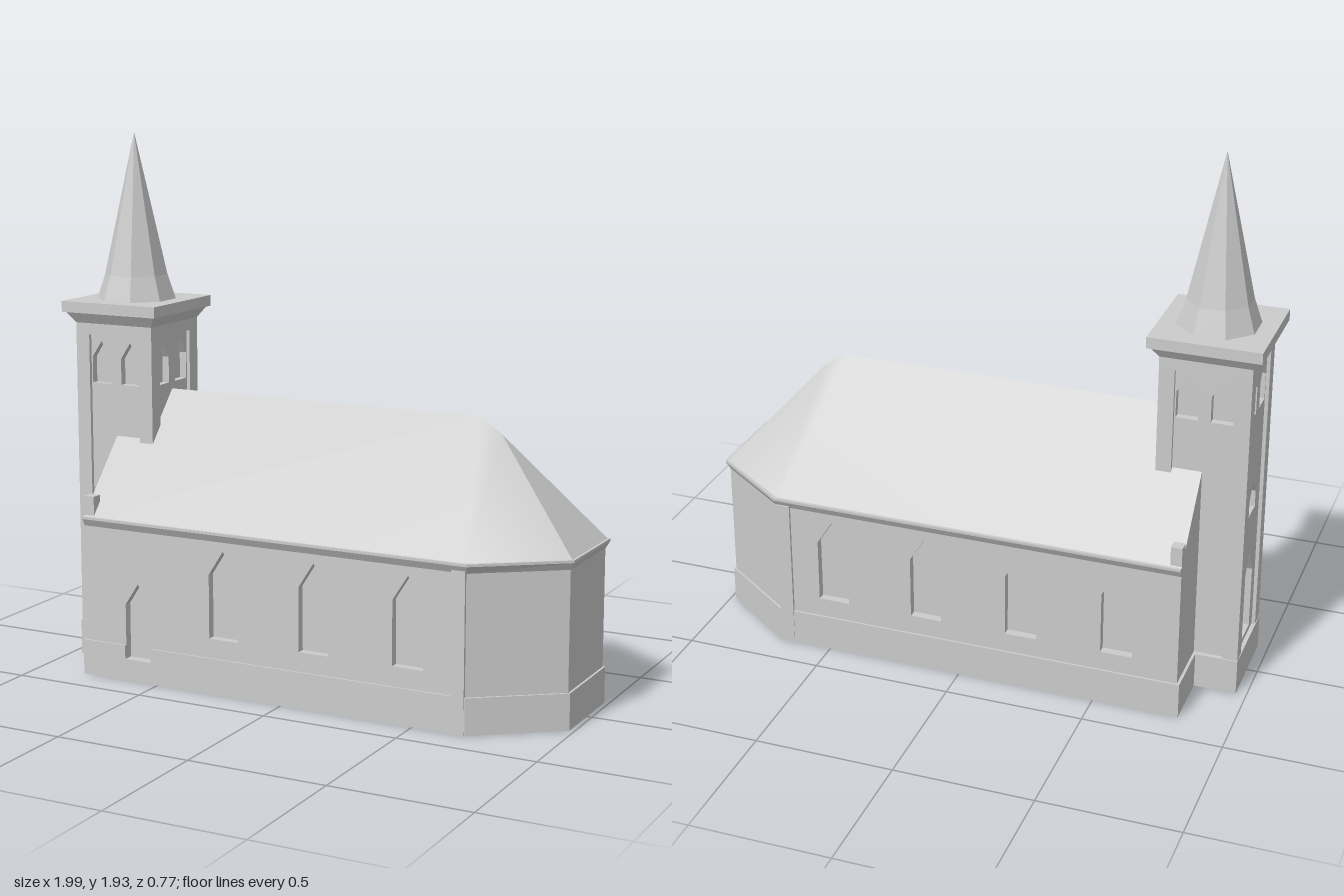
import * as THREE from 'three';

const stone = new THREE.MeshStandardMaterial({ color: 0xcccccc });
stone.name = 'pale stone';

const TX = -0.8; // tower axis

function add(parent, name, geo, x = 0, y = 0, z = 0) {
  const m = new THREE.Mesh(geo, stone);
  m.name = name;
  m.position.set(x, y, z);
  parent.add(m);
  return m;
}

// box given by its limits
function block(parent, name, x0, x1, y0, y1, z0, z1) {
  return add(parent, name, new THREE.BoxGeometry(x1 - x0, y1 - y0, z1 - z0),
    (x0 + x1) / 2, (y0 + y1) / 2, (z0 + z1) / 2);
}

// flat-sided solid between two convex [x, z] outlines
function loft(low, y0, high, y1) {
  const pos = [];
  const n = low.length;
  const a = low.map(([x, z]) => [x, y0, z]);
  const b = high.map(([x, z]) => [x, y1, z]);
  const tri = (...p) => p.forEach((v) => pos.push(...v));
  for (let i = 0; i < n; i++) {
    const j = (i + 1) % n;
    tri(a[i], a[j], b[j]);
    tri(a[i], b[j], b[i]);
    if (i > 0 && i < n - 1) {
      tri(b[0], b[i], b[i + 1]);
      tri(a[0], a[i + 1], a[i]);
    }
  }
  const g = new THREE.BufferGeometry();
  g.setAttribute('position', new THREE.Float32BufferAttribute(pos, 3));
  g.computeVertexNormals();
  return g;
}

// nave outline with its three-sided apse, grown by d
function outline(d, west = -0.8) {
  const half = [[west, 0.37 + d], [0.69 + 0.4 * d, 0.37 + d], [0.975 + d, 0.165 + 0.4 * d]];
  return [...half, ...half.map(([x, z]) => [x, -z]).reverse()];
}

const square = (h) => [[-h, h], [h, h], [h, -h], [-h, -h]];

// wall panel pierced by pointed windows [centre, bottom, shoulder, apex, width]
function pierced(x0, x1, y0, y1, depth, windows) {
  const s = new THREE.Shape([[x0, y0], [x1, y0], [x1, y1], [x0, y1]].map((p) => new THREE.Vector2(...p)));
  for (const [c, b, sh, ap, w] of windows) {
    s.holes.push(new THREE.Path([[c - w / 2, b], [c - w / 2, sh], [c, ap], [c + w / 2, sh], [c + w / 2, b]]
      .map((p) => new THREE.Vector2(...p))));
  }
  return new THREE.ExtrudeGeometry(s, { depth, bevelEnabled: false });
}

function buildNave() {
  const g = new THREE.Group();
  g.name = 'nave';
  block(g, 'naveCore', -0.8, 0.66, 0, 0.57, -0.34, 0.34);
  add(g, 'apseWalls', loft(outline(0, 0.65), 0, outline(0, 0.65), 0.57));
  add(g, 'apsePlinth', loft(outline(0.008, 0.66), 0, outline(0.008, 0.66), 0.13));

  // side walls with pointed windows
  const tall = (c) => [c, 0.2, 0.43, 0.52, 0.115];
  const centres = [-0.23, 0.125, 0.48];
  const door = [-0.58, 0.08, 0.28, 0.36, 0.105];
  add(g, 'leftWall', pierced(-0.8, 0.66, 0, 0.57, 0.03, [door, ...centres.map(tall)]), 0, 0, 0.34);
  add(g, 'rightWall', pierced(-0.8, 0.66, 0, 0.57, 0.03, [-0.58, ...centres].map(tall)), 0, 0, -0.37);

  // plinth, left open at the low side window
  block(g, 'leftPlinthWest', -0.81, -0.633, 0, 0.13, 0.36, 0.378);
  block(g, 'leftPlinthSill', -0.633, -0.527, 0, 0.08, 0.36, 0.378);
  block(g, 'leftPlinthEast', -0.527, 0.67, 0, 0.13, 0.36, 0.378);
  block(g, 'rightPlinth', -0.81, 0.67, 0, 0.13, -0.378, -0.36);
  block(g, 'gablePlinth', -0.81, -0.79, 0, 0.13, -0.375, 0.375);

  // corner pilasters and gable stubs
  for (const s of [1, -1]) {
    block(g, 'cornerPilaster', 0.64, 0.69, 0, 0.56, s * 0.365 - 0.015, s * 0.365 + 0.015);
    block(g, 'gableStub', -0.8, -0.76, 0.57, 0.66, s * 0.35 - 0.02, s * 0.35 + 0.02);
  }

  // eaves
  add(g, 'eavesFlare', loft(outline(0), 0.552, outline(0.015), 0.578));
  add(g, 'eavesLip', loft(outline(0.015), 0.578, outline(0.015), 0.587));
  return g;
}

function buildRoof() {
  const g = new THREE.Group();
  g.name = 'roof';
  const y = 0.586;
  const surface = (name, pts, index) => {
    const geo = new THREE.BufferGeometry();
    geo.setAttribute('position', new THREE.Float32BufferAttribute(pts.flat(), 3));
    geo.setIndex(index);
    geo.computeVertexNormals();
    add(g, name, geo);
  };
  // long slopes run softly round into the apse
  for (const s of [1, -1]) {
    const pts = [[-0.8, y, 0.374 * s], [0.69, y, 0.374 * s], [0.982, y, 0.168 * s],
      [0.655, 0.95, 0], [0.575, 1.005, 0], [-0.8, 1.005, 0]];
    const idx = [0, 1, 4, 0, 4, 5, 1, 2, 3, 1, 3, 4];
    surface(s > 0 ? 'leftSlope' : 'rightSlope', pts, s > 0 ? idx : idx.reverse());
  }
  surface('apseHip', [[0.982, y, 0.168], [0.982, y, -0.168], [0.655, 0.95, 0]], [0, 1, 2]);
  surface('gable', [[-0.8, y, -0.374], [-0.8, y, 0.374], [-0.8, 1.005, 0]], [0, 1, 2]);
  return g;
}

function buildTower() {
  const g = new THREE.Group();
  g.name = 'tower';
  g.position.x = TX;
  block(g, 'towerCore', -0.12, 0.12, 0, 1.22, -0.12, 0.12);
  block(g, 'towerPlinth', -0.162, 0, 0, 0.13, -0.165, 0.165);

  // recessed faces with paired belfry openings; the west face also has a door and small window
  const belfry = [-0.061, 0.061].map((c) => [c, 1.03, 1.125, 1.185, 0.078]);
  const west = [[0, 0.15, 0.38, 0.48, 0.12], [0, 0.64, 0.7, 0.76, 0.09]];
  ['front', 'east', 'back', 'west'].forEach((side, i) => {
    const windows = side === 'west' ? [...belfry, ...west] : belfry;
    const geo = pierced(-0.147, 0.147, 0, 1.215, 0.027, windows);
    geo.translate(0, 0, 0.12);
    geo.rotateY(i * Math.PI / 2);
    add(g, side + 'Face', geo);
  });
  for (const sx of [1, -1]) {
    for (const sz of [1, -1]) {
      add(g, 'cornerButtress', new THREE.BoxGeometry(0.055, 1.21, 0.055), sx * 0.1325, 0.605, sz * 0.1325);
    }
  }

  // frieze, flared cornice and slab
  add(g, 'frieze', loft(square(0.16), 1.208, square(0.16), 1.255));
  add(g, 'cornice', loft(square(0.16), 1.25, square(0.188), 1.292));
  add(g, 'corniceSlab', loft(square(0.197), 1.29, square(0.197), 1.33));

  // eight-sided spire with a kicked-out foot
  const spire = (name, top, bottom, y0, y1) => {
    const geo = new THREE.CylinderGeometry(top, bottom, y1 - y0, 8, 1, false, Math.PI / 8).toNonIndexed();
    geo.computeVertexNormals();
    add(g, name, geo, 0, (y0 + y1) / 2, 0);
  };
  spire('spireFoot', 0.115, 0.145, 1.33, 1.42);
  spire('spire', 0, 0.115, 1.42, 1.935);
  return g;
}

export function createModel() {
  const model = new THREE.Group();
  model.name = 'church';
  model.add(buildNave(), buildRoof(), buildTower());
  return model;
}
